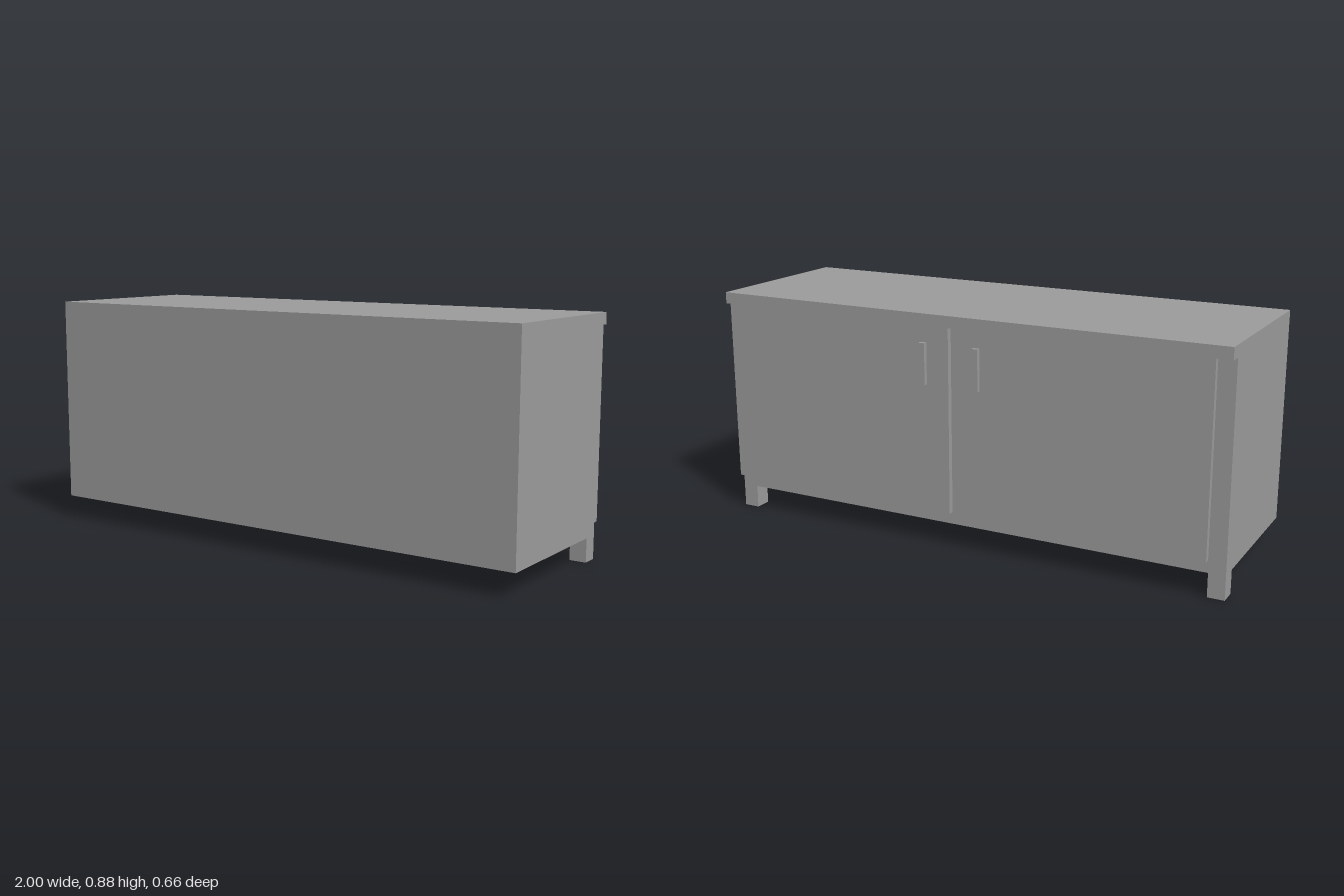
import * as THREE from 'three';

export function createModel() {
  const group = new THREE.Group();
  const material = new THREE.MeshStandardMaterial({ color: 0x9b9b9b });

  // Box given by its minimum and maximum corners
  function box(name, [x0, y0, z0], [x1, y1, z1]) {
    const mesh = new THREE.Mesh(new THREE.BoxGeometry(x1 - x0, y1 - y0, z1 - z0), material);
    mesh.position.set((x0 + x1) / 2, (y0 + y1) / 2, (z0 + z1) / 2);
    mesh.name = name;
    group.add(mesh);
  }

  const legWidth = 0.062, legTop = 0.088, carcassZ = -0.284, doorZ = -0.305;
  const doorTop = 0.832, halfDepth = 0.329;

  // Carcass and overhanging worktop
  box('carcass', [-1, legTop, carcassZ], [1, doorTop, halfDepth]);
  box('worktop', [-1, doorTop, -halfDepth], [1, 0.875, halfDepth]);

  // Two short legs under the door side
  box('leftLeg', [1 - legWidth, 0, carcassZ], [1, legTop, -0.221]);
  box('rightLeg', [-1, 0, carcassZ], [-1 + legWidth, legTop, -0.221]);

  // Pair of doors meeting off-centre, each with a bar handle
  const seam = 0.032, gap = 0.007, doorWidth = 0.961;
  for (const [side, s] of [['left', 1], ['right', -1]]) {
    const span = (a, b) => [seam + s * a, seam + s * b].sort((p, q) => p - q);
    const [d0, d1] = span(gap, gap + doorWidth);
    box(side + 'Door', [d0, 0.133, doorZ], [d1, doorTop, carcassZ]);
    const [h0, h1] = span(0.095, 0.119);
    box(side + 'Handle', [h0, 0.612, -0.321], [h1, 0.766, doorZ]);
  }

  return group;
}
